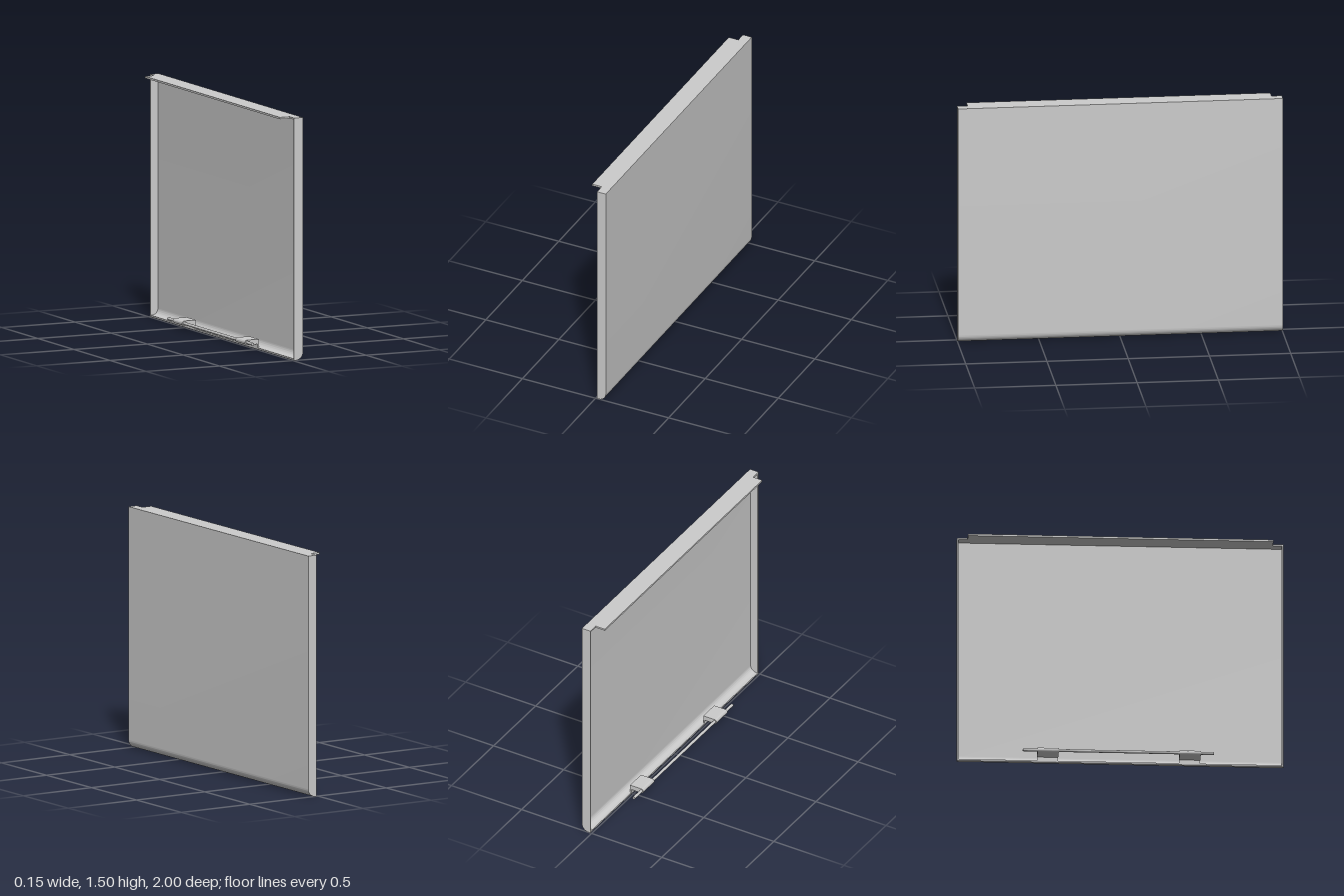
import * as THREE from 'three';
import { toCreasedNormals } from 'three/addons/utils/BufferGeometryUtils.js';

const H = 1.5, X0 = 0.01, X1 = 0.07, R = 0.05, T = 0.01;

export function createModel() {
  const group = new THREE.Group();
  const material = new THREE.MeshStandardMaterial({ color: 0xcccccc });

  const add = (name, geometry, x = 0, y = 0, z = 0) => {
    const mesh = new THREE.Mesh(geometry, material);
    mesh.name = name;
    mesh.position.set(x, y, z);
    group.add(mesh);
    return mesh;
  };
  // Extrude an x-y section along z, centred on z = 0
  const extrudeZ = (shape, length) => {
    const g = new THREE.ExtrudeGeometry(shape, { depth: length, bevelEnabled: false, curveSegments: 12 });
    g.translate(0, 0, -length / 2);
    return toCreasedNormals(g, Math.PI / 6);
  };

  // Folded sheet: top wall, face, rounded bottom corner and bottom wall
  const skin = new THREE.Shape();
  skin.moveTo(X0, 0);
  skin.lineTo(X1 - R, 0);
  skin.absarc(X1 - R, R, R, -Math.PI / 2, 0, false);
  skin.lineTo(X1, H);
  skin.lineTo(X0, H);
  skin.lineTo(X0, H - T);
  skin.lineTo(X1 - T, H - T);
  skin.lineTo(X1 - T, R);
  skin.absarc(X1 - R, R, R - T, 0, -Math.PI / 2, true);
  skin.lineTo(X0, T);
  skin.closePath();
  add('panelSkin', extrudeZ(skin, 2 - 2 * T));

  // End walls closing the two sides
  const end = new THREE.Shape();
  end.moveTo(X0, 0);
  end.lineTo(X1 - R, 0);
  end.absarc(X1 - R, R, R, -Math.PI / 2, 0, false);
  end.lineTo(X1, H);
  end.lineTo(X0, H);
  end.closePath();
  for (const s of [-1, 1]) add(s > 0 ? 'frontEndWall' : 'backEndWall', extrudeZ(end, T), 0, 0, s * (1 - T / 2));

  // Flange continuing the top wall
  add('topFlange', new THREE.BoxGeometry(0.065, 0.012, 1.87), -0.0225, H - 0.006, 0);

  // Hinge rod with two rounded brackets
  const rodX = -0.06, rodY = 0.047, r = 0.015;
  const rod = new THREE.CylinderGeometry(0.009, 0.009, 1.17, 20);
  rod.rotateX(Math.PI / 2);
  add('hingeRod', rod, rodX, rodY, -0.015);

  const tab = new THREE.Shape();
  tab.moveTo(X0, rodY + r);
  tab.lineTo(rodX, rodY + r);
  tab.absarc(rodX, rodY, r, Math.PI / 2, Math.PI * 1.5, false);
  tab.lineTo(X0, rodY - r);
  tab.closePath();
  for (const z of [-0.445, 0.425]) {
    add('hingeBracket', extrudeZ(tab, 0.13), 0, 0, z);
    // Foot tying the bracket to the bottom wall
    add('bracketFoot', new THREE.BoxGeometry(0.01, 0.054, 0.13), X0 + 0.005, 0.035, z);
  }
  return group;
}
